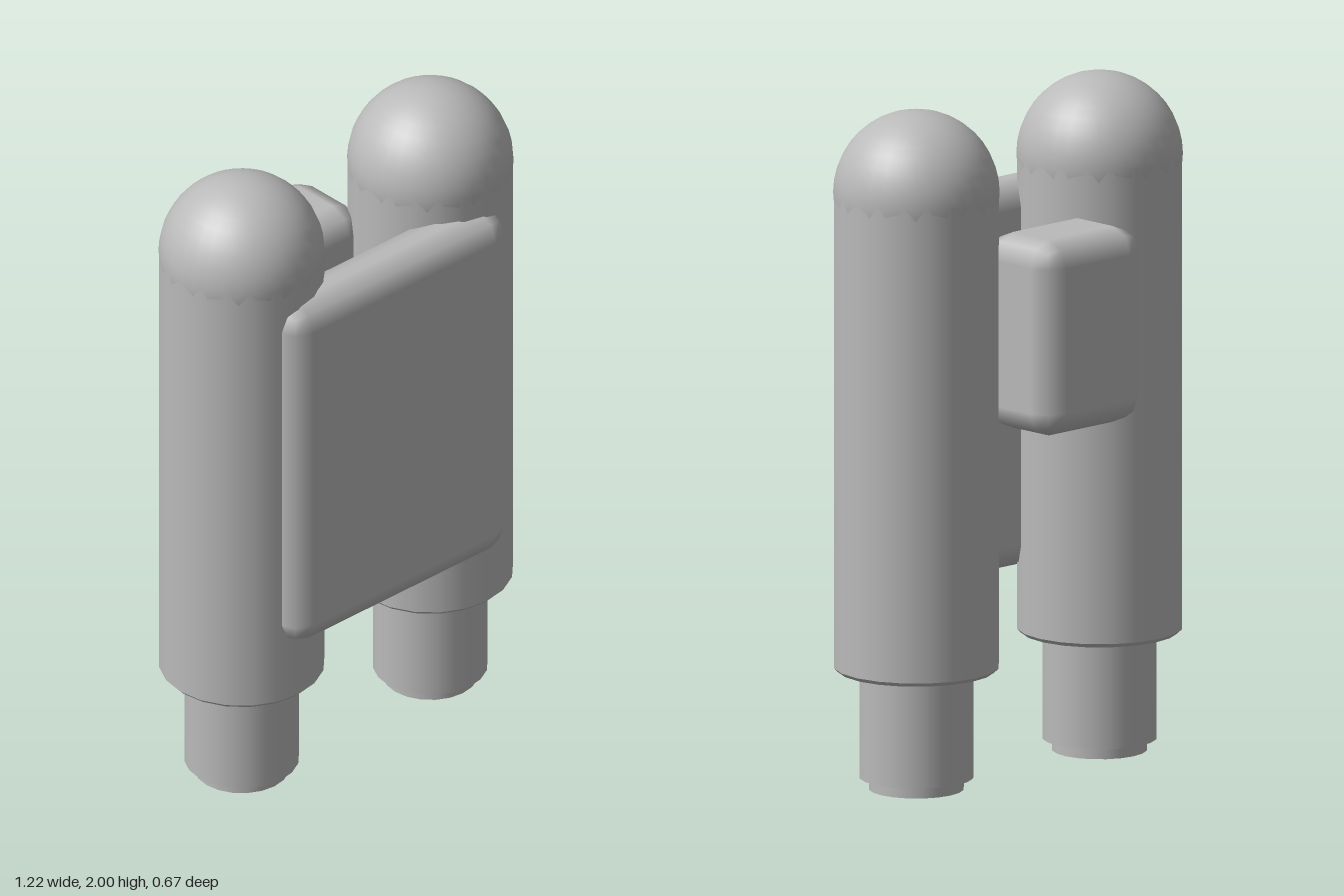
import * as THREE from 'three';
import { RoundedBoxGeometry } from 'three/addons/geometries/RoundedBoxGeometry.js';

export function createModel() {
  const model = new THREE.Group();
  model.name = 'twinTankPack';
  const grey = new THREE.MeshStandardMaterial({ color: 0xbababa });
  grey.name = 'grey';

  const add = (parent, name, geometry, x, y, z) => {
    const mesh = new THREE.Mesh(geometry, grey);
    mesh.name = name;
    mesh.position.set(x, y, z);
    parent.add(mesh);
  };

  // Upright cylinder between two heights
  const cylinder = (parent, name, rTop, rBottom, y0, y1, sides, open = false) =>
    add(parent, name, new THREE.CylinderGeometry(rTop, rBottom, y1 - y0, sides, 1, open, Math.PI / 2),
      0, (y0 + y1) / 2, 0);

  // Tanks: domed body with bevelled foot, nozzle and nozzle tip
  const R = 0.24;
  for (const side of [1, -1]) {
    const tank = new THREE.Group();
    tank.name = side > 0 ? 'leftTank' : 'rightTank';
    tank.position.set(side * 0.37, 0, 0.04);
    model.add(tank);
    add(tank, 'dome', new THREE.SphereGeometry(R, 32, 20), 0, 1.76, 0);
    cylinder(tank, 'body', R, R, 0.362, 1.76, 20, true);
    cylinder(tank, 'bodyBevel', R, R - 0.012, 0.35, 0.362, 20);
    cylinder(tank, 'nozzle', 0.166, 0.166, 0.035, 0.36, 20);
    cylinder(tank, 'nozzleTip', 0.138, 0.138, 0, 0.04, 20);
  }

  // Bevelled plate across the front and block across the back;
  // one-segment rounding sits 0.1 of the radius inside the nominal size
  const bevelled = (name, w, h, d, y, z) => {
    const r = 0.075, grow = 0.19 * r;
    add(model, name, new RoundedBoxGeometry(w + grow, h + grow, d + grow, 1, r), 0, y, z);
  };
  bevelled('frontPlate', 0.85, 1.13, 0.17, 1.113, 0.24);
  bevelled('backBlock', 0.392, 0.564, 0.28, 1.34, -0.186);

  return model;
}
